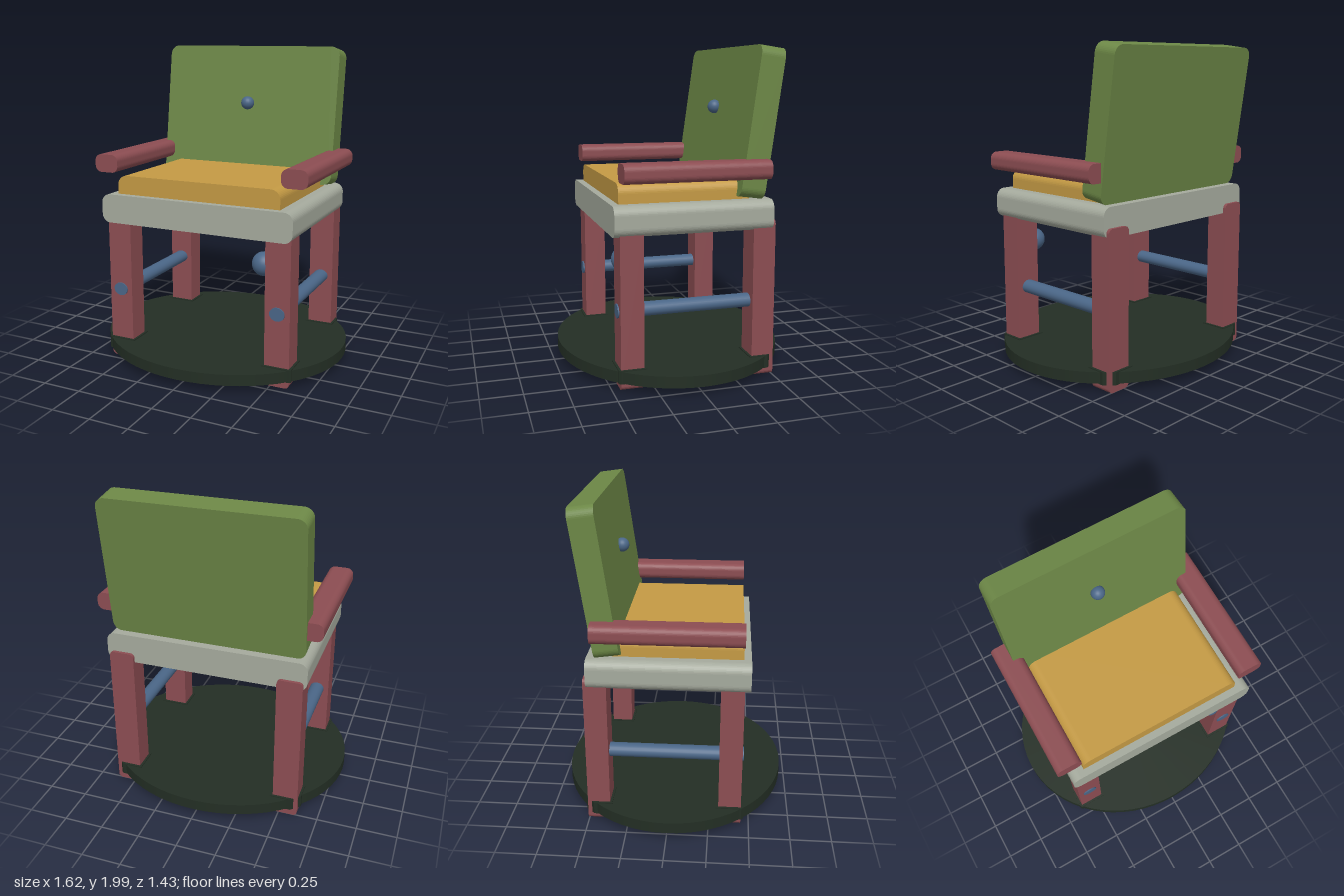
import * as THREE from 'three';

const mat = (name, color) => Object.assign(new THREE.MeshStandardMaterial({ color }), { name });

// Bar with a rounded rectangular outline in x/y, running from z0 to z1
function roundedBar(x0, x1, y0, y1, z0, z1, r) {
  const s = new THREE.Shape();
  s.moveTo(x0 + r, y0);
  s.lineTo(x1 - r, y0);
  s.absarc(x1 - r, y0 + r, r, -Math.PI / 2, 0);
  s.lineTo(x1, y1 - r);
  s.absarc(x1 - r, y1 - r, r, 0, Math.PI / 2);
  s.lineTo(x0 + r, y1);
  s.absarc(x0 + r, y1 - r, r, Math.PI / 2, Math.PI);
  s.lineTo(x0, y0 + r);
  s.absarc(x0 + r, y0 + r, r, Math.PI, Math.PI * 1.5);
  const g = new THREE.ExtrudeGeometry(s, { depth: z1 - z0, bevelEnabled: false, curveSegments: 5 });
  return g.translate(0, 0, z0);
}

export function createModel() {
  const red = mat('red wood', 0x8c4d52);
  const green = mat('green upholstery', 0x6c8746);
  const gold = mat('gold cushion', 0xc49a44);
  const grey = mat('pale grey', 0xa5aa9d);
  const blue = mat('blue', 0x4a6687);
  const dark = mat('dark base', 0x232e24);

  const chair = new THREE.Group();
  chair.name = 'chair';
  const add = (name, geometry, material) => {
    const m = new THREE.Mesh(geometry, material);
    m.name = name;
    chair.add(m);
    return m;
  };

  // Oval foot platform
  const platform = add('footPlatform', new THREE.CylinderGeometry(1, 1, 0.07, 64), dark);
  platform.scale.set(0.81, 1, 0.715);
  platform.position.y = 0.095;

  // Seat and cushion
  add('seat', roundedBar(-0.64, 0.64, 0.915, 1.097, -0.485, 0.485, 0.055), grey);
  add('cushion', roundedBar(-0.545, 0.545, 1.03, 1.215, -0.36, 0.44, 0.06), gold);

  // Leaning backrest with a button
  const back = add('backrest', roundedBar(-0.615, 0.615, -0.447, 0.447, -0.076, 0.076, 0.06), green);
  back.position.set(0, 1.548, -0.417);
  back.rotation.x = -0.14;
  add('backButton', new THREE.SphereGeometry(0.044, 24, 16), blue).position.set(0, 1.625, -0.335);

  for (const side of [1, -1]) {
    const label = side > 0 ? 'left' : 'right';
    const span = (a, b) => (side > 0 ? [a, b] : [-b, -a]);

    // Armrest
    add(label + 'Armrest', roundedBar(...span(0.548, 0.71), 1.227, 1.34, -0.44, 0.442, 0.042), red);

    // Legs, each in a collar on the platform
    for (const [end, z0, z1] of [['Front', 0.31, 0.45], ['Back', -0.505, -0.365]]) {
      add(label + end + 'Leg', roundedBar(...span(0.46, 0.62), 0.008, 0.975, z0, z1, 0.028), red);
      // Rear collars lose the corner that would overhang the platform
      const cut = end === 'Back' ? 0.055 : 0.012;
      const outer = end === 'Back' ? z0 - 0.015 : z1 + 0.015;
      const inner = end === 'Back' ? z1 + 0.015 : z0 - 0.015;
      const step = Math.sign(inner - outer) * cut;
      const outline = [[0.445, inner], [0.635, inner], [0.635, outer + step], [0.635 - cut, outer], [0.445, outer]];
      const shape = new THREE.Shape(outline.map(([x, z]) => new THREE.Vector2(side * x, -z)));
      const collar = new THREE.ExtrudeGeometry(shape, { depth: 0.08, bevelEnabled: false });
      collar.rotateX(-Math.PI / 2).translate(0, 0.056, 0);
      add(label + end + 'Collar', collar, dark);
    }

    // Side rung passing through the front leg
    const rung = add(label + 'Rung', new THREE.CylinderGeometry(1, 1, 0.9, 24), blue);
    rung.rotation.x = Math.PI / 2;
    rung.scale.set(0.048, 1, 0.042);
    rung.position.set(side * 0.54, 0.47, 0.008);
  }

  // Round knob beside the left front leg
  add('sideKnob', new THREE.SphereGeometry(0.073, 32, 20), blue).position.set(0.428, 0.75, 0.387);

  return chair;
}
